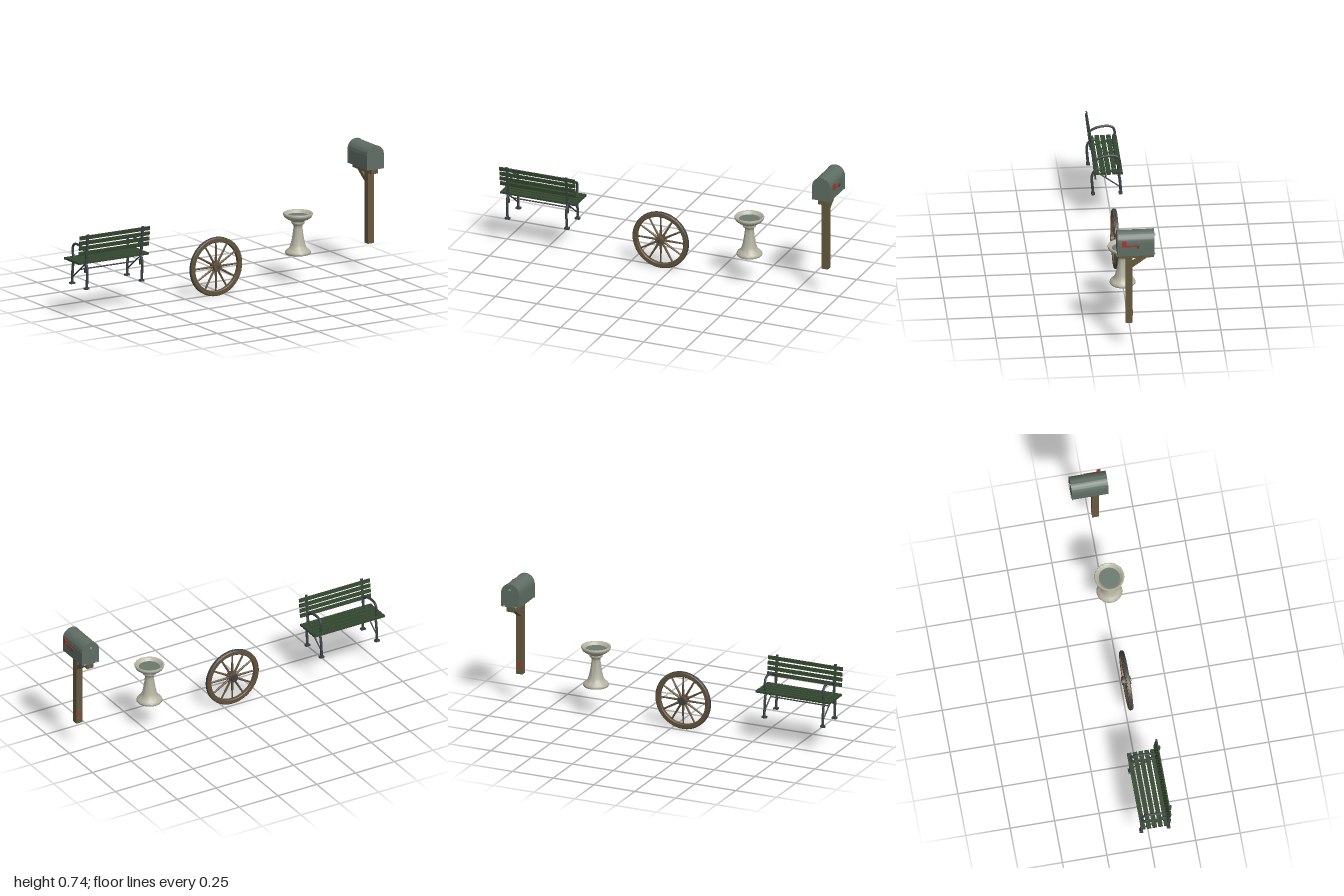
import * as THREE from 'three';
import { toCreasedNormals, mergeGeometries } from 'three/addons/utils/BufferGeometryUtils.js';

const paint = (name, color) => Object.assign(new THREE.MeshStandardMaterial({ color }), { name });
const M = {
  slat: paint('bench green', 0x34482f),
  iron: paint('dark iron', 0x3c4346),
  wood: paint('weathered post wood', 0x665a3f),
  wheel: paint('wheel wood', 0x62523b),
  stone: paint('pale stone', 0xb4b3a2),
  water: paint('water', 0x6c7a6e),
  box: paint('mailbox grey green', 0x5f6e64),
  red: paint('red', 0xa8362c),
  steel: paint('light steel', 0x9a9c98),
};

const V = (x, y, z) => new THREE.Vector3(x, y, z);

function add(group, name, geometry, material, x = 0, y = 0, z = 0) {
  const mesh = new THREE.Mesh(geometry, material);
  mesh.name = name;
  mesh.position.set(x, y, z);
  group.add(mesh);
  return mesh;
}
const box = (g, name, mat, w, h, d, x, y, z) => add(g, name, new THREE.BoxGeometry(w, h, d), mat, x, y, z);

// Round bar through (y, z) points in the plane of a given x
function bar(g, name, x, points, r, mat = M.iron) {
  const curve = new THREE.CatmullRomCurve3(points.map(([y, z]) => V(x, y, z)));
  return add(g, name, new THREE.TubeGeometry(curve, points.length * 6, r, 8), mat);
}

// Straight round rod between two points
function rod(g, name, a, b, r, mat = M.iron) {
  const mesh = add(g, name, new THREE.CylinderGeometry(r, r, a.distanceTo(b), 8), mat);
  mesh.position.copy(a).add(b).multiplyScalar(0.5);
  mesh.quaternion.setFromUnitVectors(V(0, 1, 0), b.clone().sub(a).normalize());
  return mesh;
}

function makeBench() {
  const g = new THREE.Group();
  g.name = 'bench';
  const cx = -0.773, length = 0.455;
  // Seat slats
  for (let i = 0; i < 5; i++) box(g, 'seatSlat', M.slat, length, 0.012, 0.025, cx, 0.323, 0.085 - i * 0.0325);
  // Leaning back slats
  const lean = 0.12, backZ = (y) => 0.117 - (0.488 - y) * lean;
  for (let i = 0; i < 4; i++) {
    const y = 0.471 - i * 0.0302;
    box(g, 'backSlat', M.slat, length, 0.021, 0.008, cx, y, backZ(y) - 0.007).rotation.x = Math.atan(lean);
  }
  for (const x of [-0.953, -0.596]) {
    box(g, 'backSupport', M.iron, 0.013, 0.225, 0.009, x, 0.378, backZ(0.378)).rotation.x = Math.atan(lean);
    // One arched bar makes both legs
    bar(g, 'legArch', x, [[0.175, 0.104], [0.23, 0.108], [0.28, 0.111], [0.312, 0.1], [0.328, 0.075], [0.312, 0.045],
      [0.306, 0.024], [0.312, 0.005], [0.325, -0.015], [0.305, -0.034], [0.27, -0.043], [0.22, -0.048], [0.175, -0.05]], 0.0075);
    bar(g, 'armRest', x, [[0.375, 0.103], [0.398, 0.065], [0.408, 0.025], [0.408, -0.015], [0.395, -0.037],
      [0.37, -0.044], [0.345, -0.041], [0.318, -0.034]], 0.007);
    for (const z of [0.104, -0.049]) box(g, 'foot', M.iron, 0.027, 0.01, 0.02, x, 0.178, z);
    rod(g, 'diagonalBrace', V(x, 0.315, 0.09), V(x, 0.216, -0.044), 0.004);
  }
  rod(g, 'crossBar', V(-0.953, 0.272, 0.032), V(-0.596, 0.272, 0.032), 0.004);
  return g;
}

function makeWheel() {
  const g = new THREE.Group();
  g.name = 'wagonWheel';
  g.position.set(-0.064, 0.169, 0.024);
  // Square-edged ring turned about the wheel axis
  const ring = (inner, outer, half, bevel) => {
    const p = [[inner, -half + bevel], [inner + bevel, -half], [outer - bevel, -half], [outer, -half + bevel],
      [outer, half - bevel], [outer - bevel, half], [inner + bevel, half], [inner, half - bevel], [inner, -half + bevel]];
    const geo = new THREE.LatheGeometry(p.map(([r, y]) => new THREE.Vector2(r, y)), 48);
    return toCreasedNormals(geo.rotateX(Math.PI / 2), 0.5);
  };
  add(g, 'rim', ring(0.139, 0.165, 0.012, 0.003), M.wheel);
  add(g, 'ironTyre', ring(0.162, 0.168, 0.007, 0.001), M.iron);
  // Tapered spokes
  for (let i = 0; i < 12; i++) {
    const spoke = new THREE.CylinderGeometry(0.0048, 0.0068, 0.125, 8).translate(0, 0.082, 0);
    add(g, 'spoke', spoke, M.wheel).rotation.z = (i * Math.PI) / 6;
  }
  // Hub with an iron cap on the back
  const hub = (name, mat, r1, r2, d, z) =>
    add(g, name, new THREE.CylinderGeometry(r1, r2, d, 20).rotateX(Math.PI / 2), mat, 0, 0, z);
  hub('hub', M.wheel, 0.024, 0.026, 0.042, 0.004);
  hub('hubCap', M.iron, 0.022, 0.022, 0.01, -0.021);
  hub('axleEnd', M.iron, 0.009, 0.009, 0.005, 0.0255);
  return g;
}

function makeBirdBath() {
  const g = new THREE.Group();
  g.name = 'birdBath';
  g.position.set(0.47, 0.172, 0.024);
  // Pedestal and bowl in one turned profile
  const profile = [[0, 0], [0.069, 0], [0.072, 0.004], [0.071, 0.012], [0.066, 0.02], [0.055, 0.028], [0.047, 0.038],
    [0.041, 0.055], [0.035, 0.08], [0.03, 0.11], [0.026, 0.14], [0.025, 0.158], [0.028, 0.167], [0.036, 0.173],
    [0.038, 0.179], [0.036, 0.185], [0.042, 0.191], [0.06, 0.199], [0.076, 0.211], [0.082, 0.222], [0.083, 0.23],
    [0.081, 0.234], [0.076, 0.235], [0.071, 0.231], [0.062, 0.22], [0.05, 0.21], [0, 0.205]];
  const lathe = new THREE.LatheGeometry(profile.map(([r, y]) => new THREE.Vector2(r, y)), 40);
  add(g, 'stoneBath', toCreasedNormals(lathe, 0.9), M.stone);
  add(g, 'water', new THREE.CircleGeometry(0.059, 40).rotateX(-Math.PI / 2), M.water, 0, 0.2175, 0);
  return g;
}

function makeMailbox() {
  const g = new THREE.Group();
  g.name = 'mailbox';
  const cx = 0.932;
  // Post, shelf and brace
  box(g, 'post', M.wood, 0.038, 0.408, 0.038, cx, 0.376, 0.025);
  box(g, 'shelf', M.wood, 0.042, 0.027, 0.2, cx, 0.592, -0.014);
  const s = new THREE.Shape([[-0.012, 0.512], [-0.012, 0.54], [0.043, 0.58], [0.083, 0.58]].map(([a, b]) => new THREE.Vector2(a, b)));
  const brace = new THREE.ExtrudeGeometry(s, { depth: 0.028, bevelEnabled: false }).rotateY(Math.PI / 2);
  add(g, 'brace', brace, M.wood, cx - 0.014, 0, 0);
  // Arched body with slightly larger end lips
  const arch = (r, z0, z1) => {
    const a = new THREE.Shape();
    a.moveTo(-r, 0.66 - r);
    a.lineTo(r, 0.66 - r);
    a.lineTo(r, 0.687);
    a.absarc(0, 0.687, r, 0, Math.PI, false);
    a.closePath();
    const geo = new THREE.ExtrudeGeometry(a, { depth: z1 - z0, bevelEnabled: false, curveSegments: 20 });
    return toCreasedNormals(geo.translate(0, 0, z0), 0.6);
  };
  add(g, 'boxBody', arch(0.053, -0.111, 0.089), M.box, cx);
  const lips = mergeGeometries([arch(0.0548, 0.088, 0.092), arch(0.0548, -0.114, -0.109)]);
  add(g, 'boxEnds', lips, M.box, cx);
  for (const x of [-1, 1]) box(g, 'sideSeam', M.box, 0.002, 0.002, 0.2, cx + x * 0.0535, 0.688, -0.011);
  // Door latch and hinge
  box(g, 'doorLatch', M.steel, 0.012, 0.008, 0.009, cx, 0.709, -0.1165);
  for (const x of [-0.035, 0.035]) box(g, 'doorHinge', M.steel, 0.012, 0.006, 0.005, cx + x, 0.611, -0.1155);
  // Raised signal flag on the left side
  box(g, 'flagArm', M.red, 0.004, 0.009, 0.088, 0.993, 0.672, 0.016);
  box(g, 'flag', M.red, 0.004, 0.033, 0.024, 0.996, 0.687, 0.056);
  box(g, 'flagPivot', M.iron, 0.012, 0.014, 0.012, 0.99, 0.665, -0.021);
  box(g, 'reflector', M.red, 0.02, 0.028, 0.004, cx, 0.227, 0.005);
  return g;
}

export function createModel() {
  const model = new THREE.Group();
  model.name = 'gardenSet';
  model.add(makeBench(), makeWheel(), makeBirdBath(), makeMailbox());
  return model;
}
